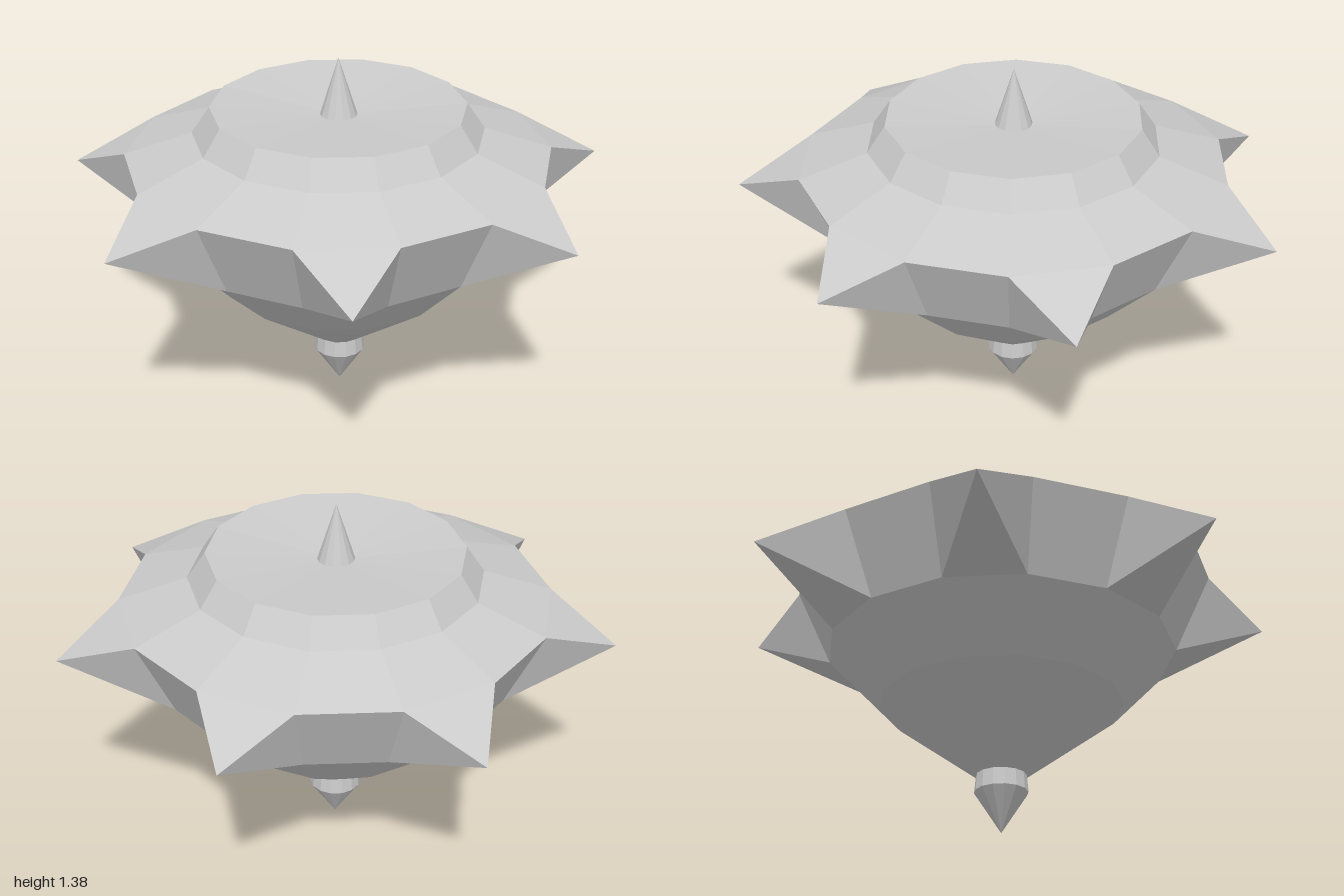
import * as THREE from 'three';

const SIDES = 14;
const AXIS_X = -0.05; // the seven-point star is off-centre in its bounds

export function createModel() {
  const group = new THREE.Group();
  const material = new THREE.MeshStandardMaterial({ color: 0xcccccc, flatShading: true });

  const add = (name, geometry) => {
    const mesh = new THREE.Mesh(geometry, material);
    mesh.name = name;
    mesh.position.x = AXIS_X;
    group.add(mesh);
  };
  // Profiles run from bottom to top as [radius, height]
  const turned = (name, profile) => add(name, new THREE.LatheGeometry(
    profile.map(([r, y]) => new THREE.Vector2(r, y)), SIDES));

  // Lower body, narrowing to the collar
  turned('lowerBody', [[0, 0.22], [0.094, 0.22], [0.46, 0.495], [0.662, 0.705]]);

  // Shoulder, raised rim and slightly dished top
  turned('upperBody', [[0.8, 1.005], [0.545, 1.09], [0.477, 1.19], [0, 1.15]]);

  // Collar and pointed foot
  turned('footTip', [[0, 0], [0.1, 0.155], [0.094, 0.22], [0, 0.22]]);

  // Handle spike
  turned('handleSpike', [[0.07, 1.155], [0, 1.375]]);

  // Belt: every second panel is drawn out into a four-sided spike
  const frontTips = { 1: [0.605, 0.808], 3: [0.97, 0], 11: [-0.975, 0.46], 13: [-0.295, 1] };
  const backOf = { 5: 1, 7: 13, 9: 11 };
  const tipOf = (i) => {
    const [x, z] = frontTips[i] ?? frontTips[backOf[i]];
    return [x - AXIS_X, 0.885, i in backOf ? -z : z];
  };
  const ringPoint = (r, y, i) => {
    const a = (i / SIDES) * Math.PI * 2;
    return [r * Math.sin(a), y, r * Math.cos(a)];
  };
  const positions = [];
  const triangle = (...corners) => positions.push(...corners.flat());
  for (let i = 0; i < SIDES; i++) {
    const panel = [
      ringPoint(0.662, 0.705, i), ringPoint(0.662, 0.705, i + 1),
      ringPoint(0.8, 1.005, i + 1), ringPoint(0.8, 1.005, i),
    ];
    if (i % 2) {
      const tip = tipOf(i);
      panel.forEach((p, k) => triangle(p, panel[(k + 1) % 4], tip));
    } else {
      triangle(panel[0], panel[1], panel[2]);
      triangle(panel[0], panel[2], panel[3]);
    }
  }
  const belt = new THREE.BufferGeometry();
  belt.setAttribute('position', new THREE.Float32BufferAttribute(positions, 3));
  belt.computeVertexNormals();
  add('spikedBelt', belt);

  return group;
}
